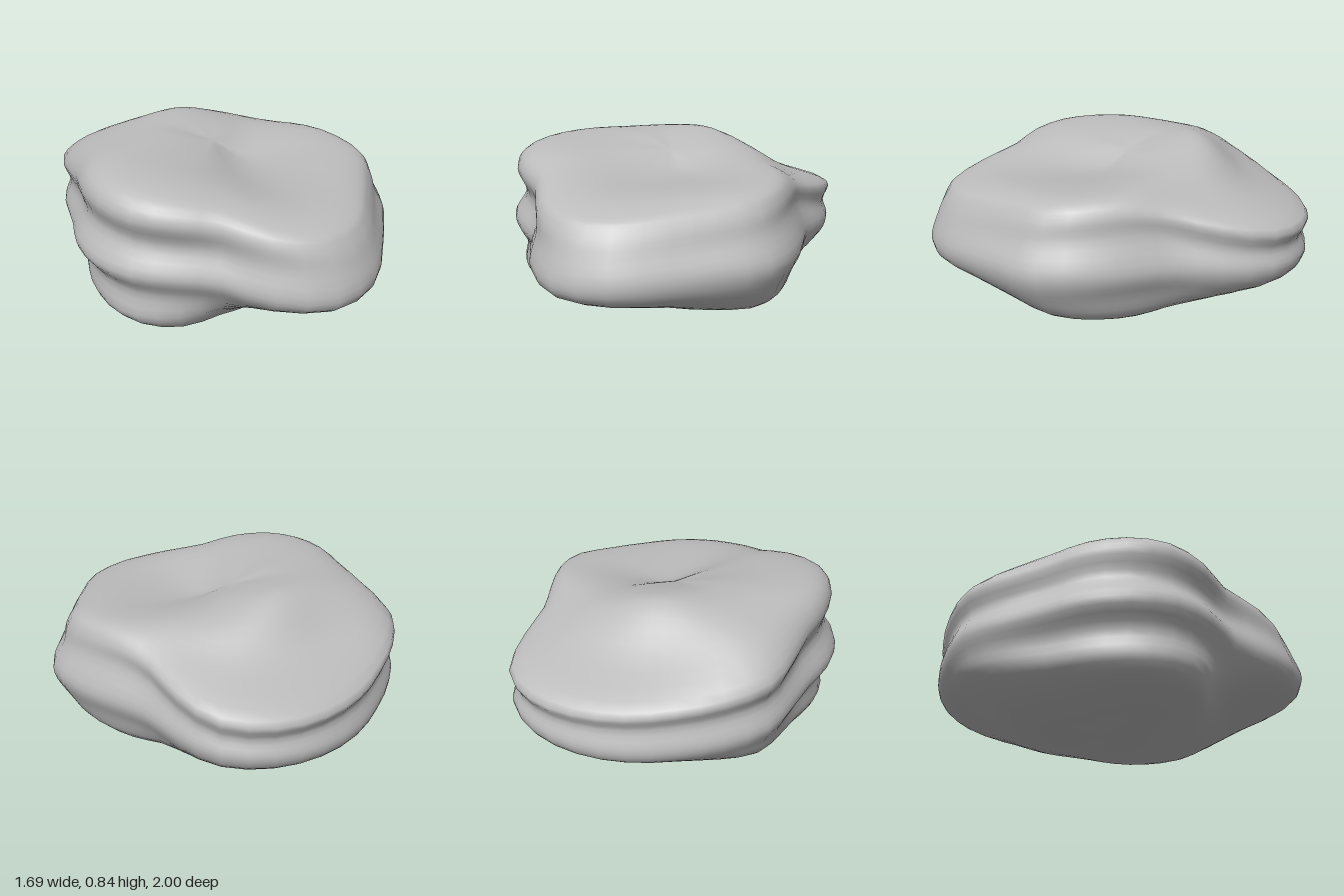
import * as THREE from 'three';
import { mergeVertices } from 'three/addons/utils/BufferGeometryUtils.js';

const AROUND = 48, DOWN = 40;

// Plan outline: radius every 15 degrees, from +x turning toward +z
const outline = [
  0.79, 0.87, 0.95, 0.945, 0.98, 1.06, 1.07, 0.96, 0.83, 0.85, 0.885, 0.87,
  0.83, 0.79, 0.82, 0.89, 0.89, 0.89, 0.92, 0.955, 0.975, 0.95, 0.84, 0.76,
];

// Side profiles every 45 degrees, top to bottom: [share of outline radius, height]
const profiles = [
  [[.26, .735], [.65, .735], [.83, .71], [.91, .64], [.92, .54], [1, .38], [.94, .25], [.85, .11], [.6, .06]],
  [[.22, .69], [.66, .70], [.83, .67], [.9, .6], [.94, .5], [1, .37], [.95, .24], [.8, .13], [.5, .06]],
  [[.24, .70], [.66, .685], [.86, .63], [.92, .57], [.96, .47], [1, .32], [.92, .23], [.63, .15], [.42, .05]],
  [[.37, .785], [.68, .795], [.89, .76], [.965, .67], [.915, .54], [.99, .4], [.925, .27], [.91, .12], [.73, .03]],
  [[.3, .82], [.65, .83], [.86, .79], [.94, .69], [.91, .55], [1, .4], [.91, .27], [.9, .11], [.6, .01]],
  [[.3, .835], [.55, .82], [.8, .74], [.97, .61], [.935, .49], [.98, .37], [.94, .27], [.86, .15], [.55, .02]],
  [[.28, .835], [.45, .825], [.68, .655], [.975, .53], [.965, .43], [1, .32], [.95, .24], [.78, .17], [.42, .03]],
  [[.25, .79], [.47, .76], [.68, .65], [.975, .54], [.96, .43], [.99, .34], [.94, .25], [.78, .17], [.42, .04]],
];

function smoothCurve(points, closed) {
  const vectors = points.map(([x, y]) => new THREE.Vector3(x, y, 0));
  return new THREE.CatmullRomCurve3(vectors, closed, 'catmullrom', 0.5);
}

function stoneGeometry() {
  const geometry = new THREE.SphereGeometry(1, AROUND, DOWN);
  const position = geometry.attributes.position;
  const radius = smoothCurve(outline.map((r) => [r, 0]), true);
  const sides = profiles.map((p) => smoothCurve([[0, 0.77], ...p, [0, 0.03]], false));

  // One closed curve per level blends the eight profiles around the stone
  for (let j = 0; j <= DOWN; j++) {
    const level = smoothCurve(sides.map((s) => {
      const p = s.getPoint(j / DOWN);
      return [p.x, p.y];
    }), true);
    for (let i = 0; i <= AROUND; i++) {
      const turn = (1.5 - i / AROUND) % 1;
      const angle = turn * Math.PI * 2;
      const p = level.getPoint(turn);
      const r = p.x * radius.getPoint(turn).x;
      position.setXYZ(j * (AROUND + 1) + i, r * Math.cos(angle), p.y, r * Math.sin(angle) - 0.07);
    }
  }

  // Weld the sphere seam so the shading runs smoothly round
  geometry.deleteAttribute('uv');
  geometry.deleteAttribute('normal');
  const welded = mergeVertices(geometry, 1e-4);
  welded.computeVertexNormals();
  return welded;
}

export function createModel() {
  const group = new THREE.Group();
  group.name = 'rock';
  const stoneGrey = new THREE.MeshStandardMaterial({ color: 0xbcbcbc });
  stoneGrey.name = 'stoneGrey';
  const stone = new THREE.Mesh(stoneGeometry(), stoneGrey);
  stone.name = 'stone';

  // Rest the stone on the ground, centred
  const box = new THREE.Box3().setFromObject(stone);
  const centre = box.getCenter(new THREE.Vector3());
  stone.position.set(-centre.x, -box.min.y, -centre.z);
  group.add(stone);
  return group;
}
